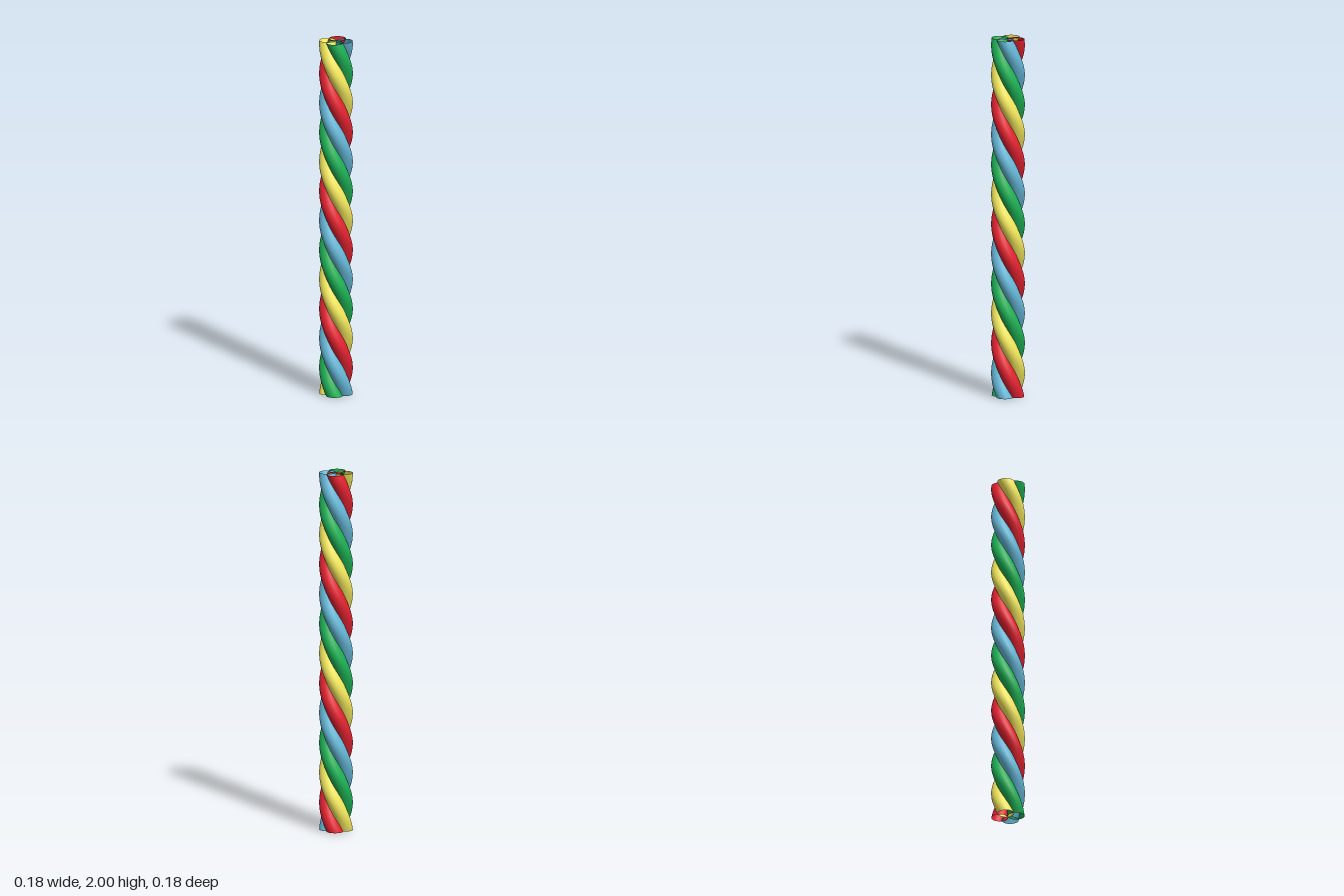
import * as THREE from 'three';
import { mergeVertices } from 'three/addons/utils/BufferGeometryUtils.js';

const HEIGHT = 2;
const RADIUS = 0.046; // strand radius, also its distance from the axis
const TURNS = 3;

// Open round tube, set off the axis and twisted around it with height
function twistedStrand(startAngle) {
  const geometry = new THREE.CylinderGeometry(RADIUS, RADIUS, HEIGHT, 40, 180, true);
  geometry.translate(RADIUS, HEIGHT / 2, 0);
  geometry.deleteAttribute('normal');
  geometry.deleteAttribute('uv');
  const pos = geometry.attributes.position;
  const v = new THREE.Vector3();
  const up = new THREE.Vector3(0, 1, 0);
  for (let i = 0; i < pos.count; i++) {
    v.fromBufferAttribute(pos, i);
    const angle = startAngle + (v.y / HEIGHT) * TURNS * Math.PI * 2;
    v.applyAxisAngle(up, -angle); // angle runs from +x towards +z
    pos.setXYZ(i, v.x, v.y, v.z);
  }
  const welded = mergeVertices(geometry, 1e-5);
  welded.computeVertexNormals();
  return welded;
}

export function createModel() {
  const group = new THREE.Group();
  group.name = 'twistedCandle';

  // Four strands, a quarter turn apart
  const strands = [
    ['blueStrand', 0x66b8d8],
    ['greenStrand', 0x1eb155],
    ['yellowStrand', 0xf4e95e],
    ['redStrand', 0xe42331],
  ];
  strands.forEach(([name, color], i) => {
    const material = new THREE.MeshStandardMaterial({ color, side: THREE.DoubleSide });
    const mesh = new THREE.Mesh(twistedStrand(Math.PI / 4 + (i * Math.PI) / 2), material);
    mesh.name = name;
    group.add(mesh);
  });
  return group;
}
